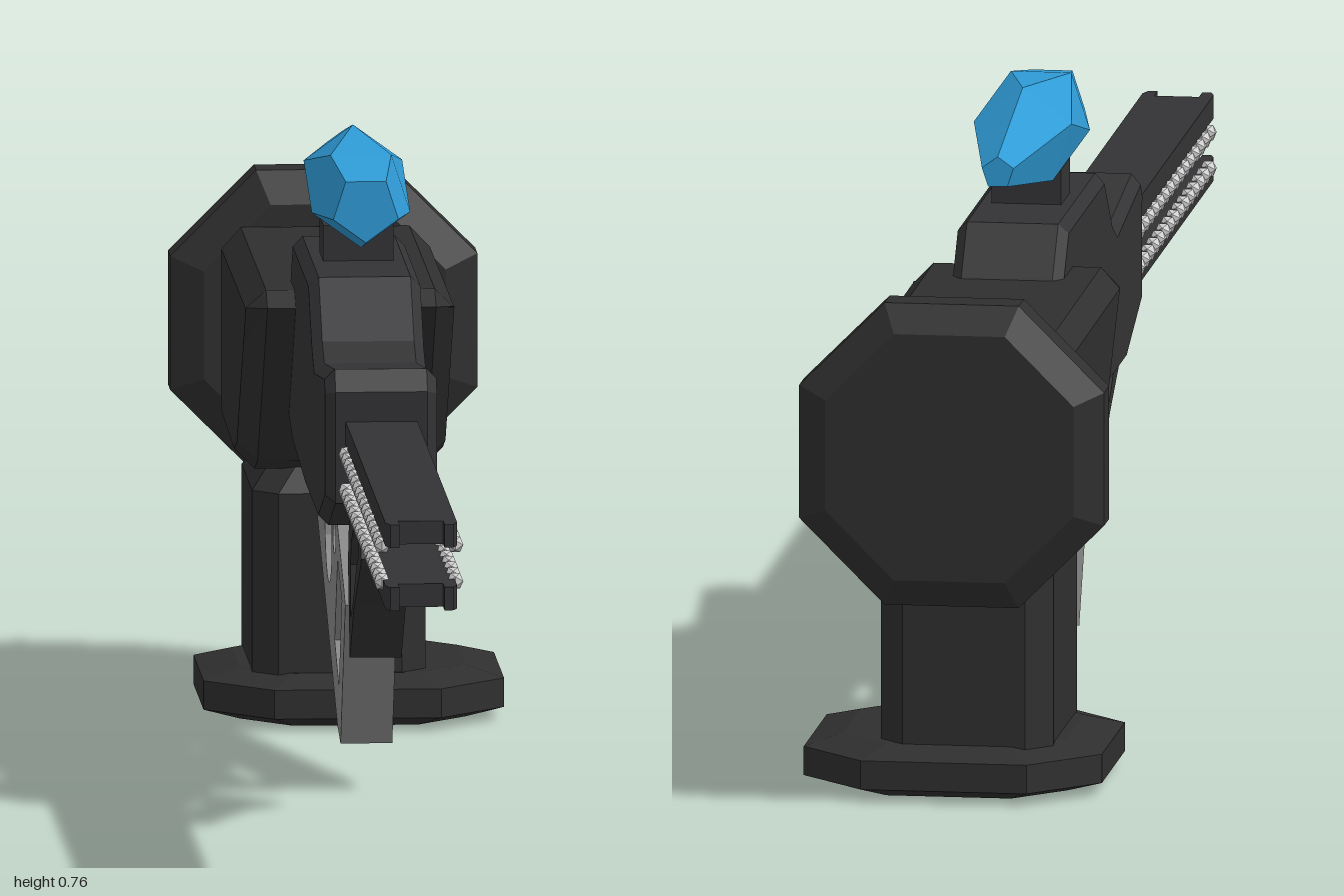
import * as THREE from 'three';
import { ConvexGeometry } from 'three/addons/geometries/ConvexGeometry.js';

const material = (color) => new THREE.MeshStandardMaterial({ color, flatShading: true });
const dark = material(0x333335);
const darker = material(0x2f2f2f);
const steel = material(0x888888);
const pale = material(0xcccccc);
const blue = material(0x2f9bd6);

const toPoints = (list) => list.map(([a, b]) => new THREE.Vector2(a, b));

// Side outline in (z, y), extruded symmetrically across x with chamfered edges
function sideProfile(outline, halfWidth, bevel, holes = []) {
  const shape = new THREE.Shape(toPoints(outline));
  shape.holes.push(...holes);
  const geometry = new THREE.ExtrudeGeometry(shape, {
    depth: 2 * (halfWidth - bevel), bevelEnabled: bevel > 0, bevelSegments: 1,
    bevelSize: bevel, bevelThickness: bevel, bevelOffset: -bevel, curveSegments: 10,
  });
  geometry.translate(0, 0, -(halfWidth - bevel));
  return geometry.rotateY(-Math.PI / 2);
}

// Solid through octagonal sections: [height, halfX, halfDepth, cornerCut], along y
function octagonStack(sections) {
  const points = [];
  for (const [y, hx, hz, cut] of sections)
    for (const sx of [-1, 1])
      for (const sz of [-1, 1])
        points.push(
          new THREE.Vector3(sx * hx, y, sz * (hz - cut)),
          new THREE.Vector3(sx * (hx - cut), y, sz * hz));
  return new ConvexGeometry(points);
}

function ellipseHole(z, y, rz, ry, rotation = 0) {
  const path = new THREE.Path();
  path.absellipse(z, y, rz, ry, 0, Math.PI * 2, true, rotation);
  return path;
}

export function createModel() {
  const group = new THREE.Group();
  const add = (name, geometry, mat, x = 0, y = 0, z = 0) => {
    const mesh = new THREE.Mesh(geometry, mat);
    mesh.name = name;
    mesh.position.set(x - 0.008, y, z);
    group.add(mesh);
    return mesh;
  };

  // Central body with raised hump
  add('body', sideProfile([
    [0.2, 0.395], [0.205, 0.53], [0.185, 0.555], [-0.02, 0.53], [-0.06, 0.55], [-0.13, 0.617],
    [-0.45, 0.617], [-0.5, 0.56], [-0.6, 0.4], [-0.45, 0.36], [-0.2, 0.347], [0.06, 0.347],
  ], 0.067, 0.012), dark);

  // Wide rear housing with slanted front
  add('rearHousing', sideProfile([
    [-0.383, 0.54], [-0.41, 0.558], [-0.91, 0.556], [-0.93, 0.53], [-0.93, 0.33],
    [-0.91, 0.312], [-0.64, 0.306], [-0.58, 0.325], [-0.45, 0.465],
  ], 0.125, 0.024), darker);

  // Octagonal end cap, stacked along z
  const cap = octagonStack([
    [-0.043, 0.145, 0.145, 0.08], [-0.022, 0.184, 0.184, 0.103],
    [0.022, 0.184, 0.184, 0.103], [0.043, 0.15, 0.15, 0.083],
  ]).rotateX(-Math.PI / 2);
  add('endCap', cap, darker, 0, 0.437, -0.957);

  // Column and foot under the housing
  add('column', octagonStack([
    [0.05, 0.104, 0.133, 0.03], [0.28, 0.104, 0.133, 0.03], [0.32, 0.075, 0.105, 0.03],
  ]), darker, 0, 0, -0.742);
  add('foot', octagonStack([
    [0, 0.135, 0.135, 0.06], [0.015, 0.18, 0.18, 0.08],
    [0.05, 0.18, 0.18, 0.08], [0.063, 0.135, 0.135, 0.06],
  ]), darker, 0.018, 0, -0.74);

  // Pair of barrel rails with notched tips
  const railShape = new THREE.Shape(toPoints([
    [-0.043, 0.15], [0.043, 0.15], [0.043, 0.985], [0.038, 1], [0.027, 1], [0.027, 0.972],
    [-0.027, 0.972], [-0.027, 1], [-0.038, 1], [-0.043, 0.985],
  ]));
  for (const [name, top] of [['upperRail', 0.494], ['lowerRail', 0.418]]) {
    const rail = new THREE.ExtrudeGeometry(railShape, { depth: 0.028, bevelEnabled: false });
    add(name, rail.rotateX(Math.PI / 2), dark, 0, top, 0);
  }

  // Rows of small studs along the slot edges
  const stud = new THREE.IcosahedronGeometry(0.011, 0);
  for (const side of [-1, 1])
    for (const y of [0.459, 0.415])
      for (let i = 0; i < 17; i++)
        add('railStud', stud, pale, side * 0.044, y, 0.235 + i * 0.0435);

  // Trigger guard loop
  add('triggerGuard', sideProfile([
    [0.312, 0.345], [0.272, 0.395], [0.2, 0.4], [0.1, 0.37], [0.06, 0.335],
    [0.054, 0.295], [0.085, 0.19], [0.103, 0.205], [0.17, 0.265], [0.3, 0.335],
  ], 0.031, 0, [new THREE.Path(toPoints([
    [0.262, 0.345], [0.225, 0.37], [0.17, 0.363], [0.12, 0.338],
    [0.098, 0.305], [0.1, 0.24], [0.15, 0.268], [0.21, 0.315],
  ]))]), dark);

  // Slanted plate with lightening holes
  add('gripPlate', sideProfile([
    [-0.003, 0.24], [-0.03, 0.255], [-0.26, 0.36], [-0.5, 0.42], [-0.66, 0.36], [-0.64, 0.305],
    [-0.155, 0.07], [-0.095, 0.058],
  ], 0.031, 0, [
    new THREE.Path(toPoints([[-0.07, 0.235], [-0.155, 0.272], [-0.212, 0.165], [-0.13, 0.123]])),
    ellipseHole(-0.22, 0.294, 0.026, 0.026),
    ellipseHole(-0.335, 0.278, 0.067, 0.06, -0.35),
  ]), steel);

  // Sight mount and faceted crystal
  add('sightMount', new THREE.BoxGeometry(0.084, 0.07, 0.075), dark, 0, 0.625, -0.293);
  const crystalPoints = [];
  for (const [z, radius, turn] of [[0.188, 0.041, 0], [0.09, 0.062, 0], [-0.07, 0.062, 1], [-0.287, 0.02, 1]])
    for (let i = 0; i < 5; i++) {
      const a = -Math.PI / 2 + (i * 2 + turn) * Math.PI / 5;
      crystalPoints.push(new THREE.Vector3(radius * Math.cos(a), radius * Math.sin(a), z));
    }
  add('crystal', new ConvexGeometry(crystalPoints), blue, 0, 0.703, -0.293);

  return group;
}
